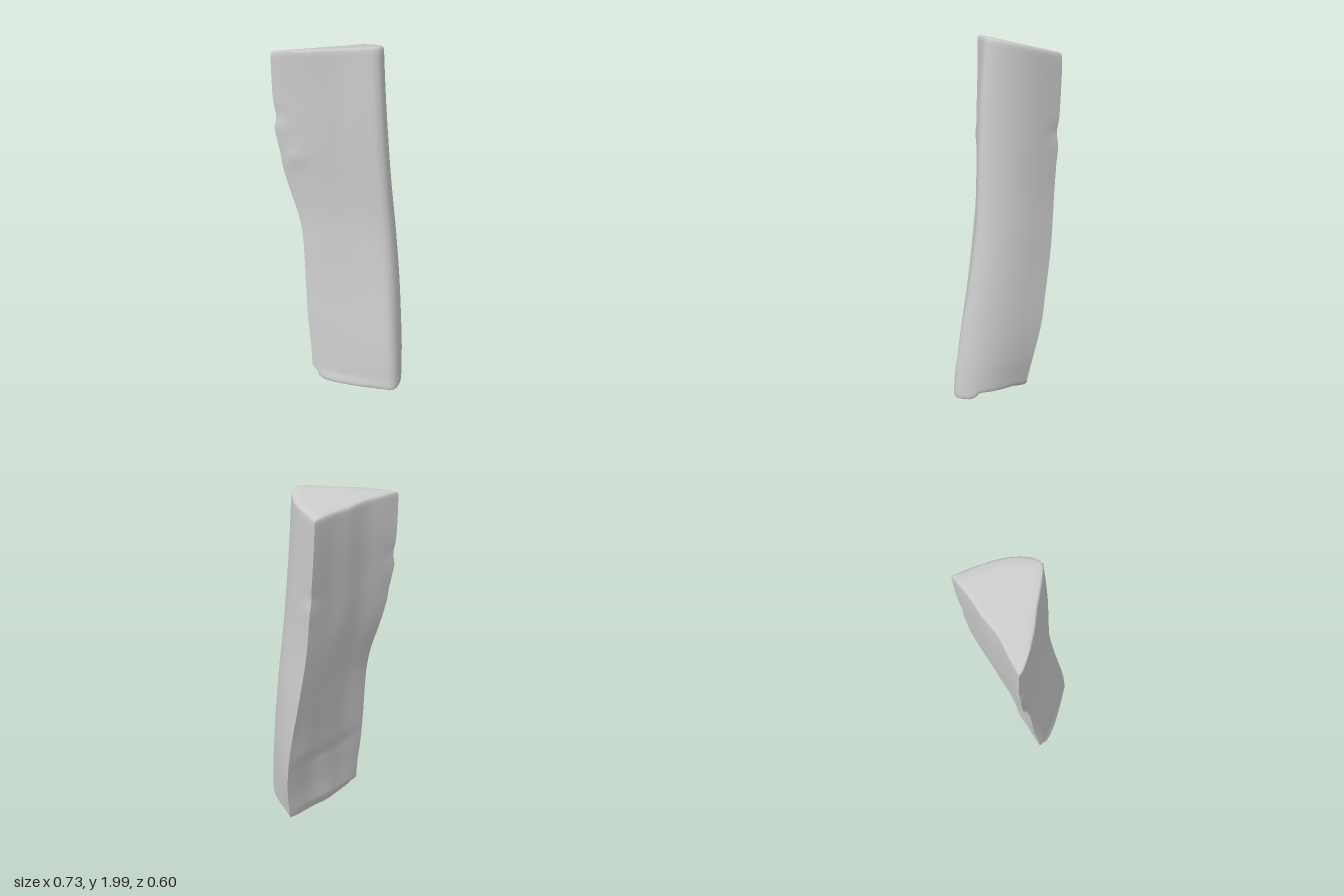
import * as THREE from 'three';
import { toCreasedNormals } from 'three/addons/utils/BufferGeometryUtils.js';

const { lerp, smoothstep } = THREE.MathUtils;

// The three long edges of the split log, as [height, x, z] from bottom to top
const LEFT = [[0, -.157, .265], [.2, -.168, .25], [.4, -.188, .232], [.6, -.2, .213], [.9, -.215, .19],
  [1.05, -.238, .178], [1.2, -.28, .177], [1.3, -.306, .178], [1.45, -.336, .182], [1.65, -.352, .176], [1.8, -.36, .171], [2, -.36, .17]];
const RIGHT = [[0, .35, .268], [.2, .334, .25], [.4, .314, .222], [.7, .288, .172], [1, .26, .135], [1.4, .22, .122], [1.7, .194, .11], [2, .172, .085]];
const BACK = [[0, .195, -.14], [.06, .197, -.15], [.2, .197, -.18], [.4, .182, -.22], [.6, .157, -.24], [.9, .105, -.265],
  [1.2, .058, -.275], [1.45, .034, -.286], [1.8, .009, -.298], [1.93, .003, -.3], [2, .001, -.298]];

// Smooth lookup along an edge; returns a 2D point (x, z)
function edgeAt(table, h) {
  let i = 0;
  while (i < table.length - 2 && h > table[i + 1][0]) i++;
  const a = table[i], b = table[i + 1];
  const t = (h - a[0]) / (b[0] - a[0]);
  const before = table[Math.max(i - 1, 0)], after = table[Math.min(i + 2, table.length - 1)];
  const slope = (p, q, k) => (q[k] - p[k]) / (q[0] - p[0]) * (b[0] - a[0]);
  const hermite = k => {
    const m0 = slope(before, b, k), m1 = slope(a, after, k), t2 = t * t, t3 = t2 * t;
    return a[k] * (2 * t3 - 3 * t2 + 1) + m0 * (t3 - 2 * t2 + t) + b[k] * (3 * t2 - 2 * t3) + m1 * (t3 - t2);
  };
  return new THREE.Vector2(hermite(1), hermite(2));
}

const SIDE = 16, RING = SIDE * 3, LEVELS = 100;
const bump = (v, centre, width) => Math.exp(-(((v - centre) / width) ** 2));
const arch = s => Math.sin(Math.PI * s);

// One wedge-shaped section: front split, bark arc, back split
function section(h) {
  const L = edgeAt(LEFT, h), R = edgeAt(RIGHT, h), B = edgeAt(BACK, h);
  // Chip broken out of the left edge at the foot
  const chip = 1 - smoothstep(h, .035, .06);
  L.x += .042 * chip;
  L.y += .015 * chip;

  const ring = [];
  const addSide = (a, b, bulge) => {
    const normal = new THREE.Vector2(a.y - b.y, b.x - a.x).normalize();
    for (let i = 0; i < SIDE; i++) {
      const s = i / SIDE;
      ring.push(a.clone().lerp(b, s).addScaledVector(normal, bulge(s)));
    }
  };
  // Front split, fuller towards the left, with a long shallow groove and a small knot
  addSide(L, R, s => (.024 - .009 * arch(h / 2)) * arch(s ** .6)
    - .008 * bump(s, .6, .12) * bump(h, 1.5, .6)
    + .008 * bump(s, .15, .08) * bump(h, 1.42, .05));
  // Bark
  addSide(R, B, s => (.05 + .014 * (1 - (h / 2) ** 2)) * arch(s ** .75));
  // Back split: hollow at the top, full near the bark lower down, stepped and flared at the foot
  const step = smoothstep(h, .4, .52);
  const full = step * (1 - smoothstep(h, 1, 1.6));
  const flare = lerp(.03 * Math.max(0, 1 - h / .45) - .012, -.016 * smoothstep(h, .4, 1.7), step);
  addSide(B, L, s => flare * arch(s ** 1.3) + .012 * full * bump(s, .28, .16)
    + .004 * arch(s) * Math.sin(14 * s + h));

  // Ragged dents in the two sharp edges, fading along the faces
  const dents = [
    [0, L, .007 * bump(h, 1.58, .04) - .008 * bump(h, 1.66, .04) - .006 * bump(h, 1.44, .05)],
    [2 * SIDE, B, .004 * bump(h, 1.46, .05) - .009 * bump(h, 1.56, .05)],
  ];
  const mid = L.clone().add(R).add(B).divideScalar(3);
  for (const [corner, edge, depth] of dents) {
    const out = edge.clone().sub(mid).normalize();
    for (let d = -2; d <= 2; d++) ring[(corner + d + RING) % RING].addScaledVector(out, depth * (1 - Math.abs(d) / 3));
  }

  // Soften the front right corner
  const soft = [-1, 0, 1].map(d => {
    const i = SIDE + d;
    return ring[i].clone().multiplyScalar(2).add(ring[i - 1]).add(ring[i + 1]).multiplyScalar(.25);
  });
  soft.forEach((p, d) => ring[SIDE + d - 1].copy(p));
  return ring;
}

// Uneven sawn ends; the foot is undercut along the bark
const topY = (x, z) => Math.min(1.998, 1.972 + .1 * x + .2 * (z - .05));
function bottomY(x, z) {
  const barkSide = smoothstep(x - .195 - (z + .14) * .38, -.02, .03);
  const undercut = barkSide * smoothstep(.16 - z, 0, .05) * (.02 + .08 * (z + .14));
  return .014 + .01 * smoothstep(-x, .04, .14) - .01 * Math.max(0, x) / .34 + undercut;
}

function logGeometry() {
  const positions = [], index = [], rings = [];
  const addRing = (h, inset, lift) => {
    const pts = section(h);
    const mid = pts.reduce((m, p) => m.add(p), new THREE.Vector2()).divideScalar(RING);
    rings.push(positions.length / 3);
    for (const p of pts) {
      p.lerp(mid, inset);
      positions.push(p.x, lerp(bottomY(p.x, p.y), topY(p.x, p.y), h / 2) + lift, p.y);
    }
  };

  // Bottom end, long sides, then top end, with slightly rounded rims
  for (const inset of [.999, .6, .25, .07]) addRing(0, inset, 0);
  addRing(0, .02, .004);
  for (let i = 0; i <= LEVELS; i++) addRing(.012 + 1.97 * i / LEVELS, 0, 0);
  addRing(2, .015, -.005);
  for (const inset of [.06, .25, .6, .999]) addRing(2, inset, 0);

  for (let r = 0; r < rings.length - 1; r++) {
    for (let i = 0; i < RING; i++) {
      const j = (i + 1) % RING, a = rings[r], b = rings[r + 1];
      index.push(a + i, a + j, b + j, a + i, b + j, b + i);
    }
  }
  const geometry = new THREE.BufferGeometry();
  geometry.setAttribute('position', new THREE.Float32BufferAttribute(positions, 3));
  geometry.setIndex(index);
  return toCreasedNormals(geometry, .9);
}

export function createModel() {
  const group = new THREE.Group();
  group.name = 'splitFirewood';
  const log = new THREE.Mesh(logGeometry(), new THREE.MeshStandardMaterial({ color: 0xcccccc }));
  log.name = 'splitLog';
  group.add(log);
  return group;
}
